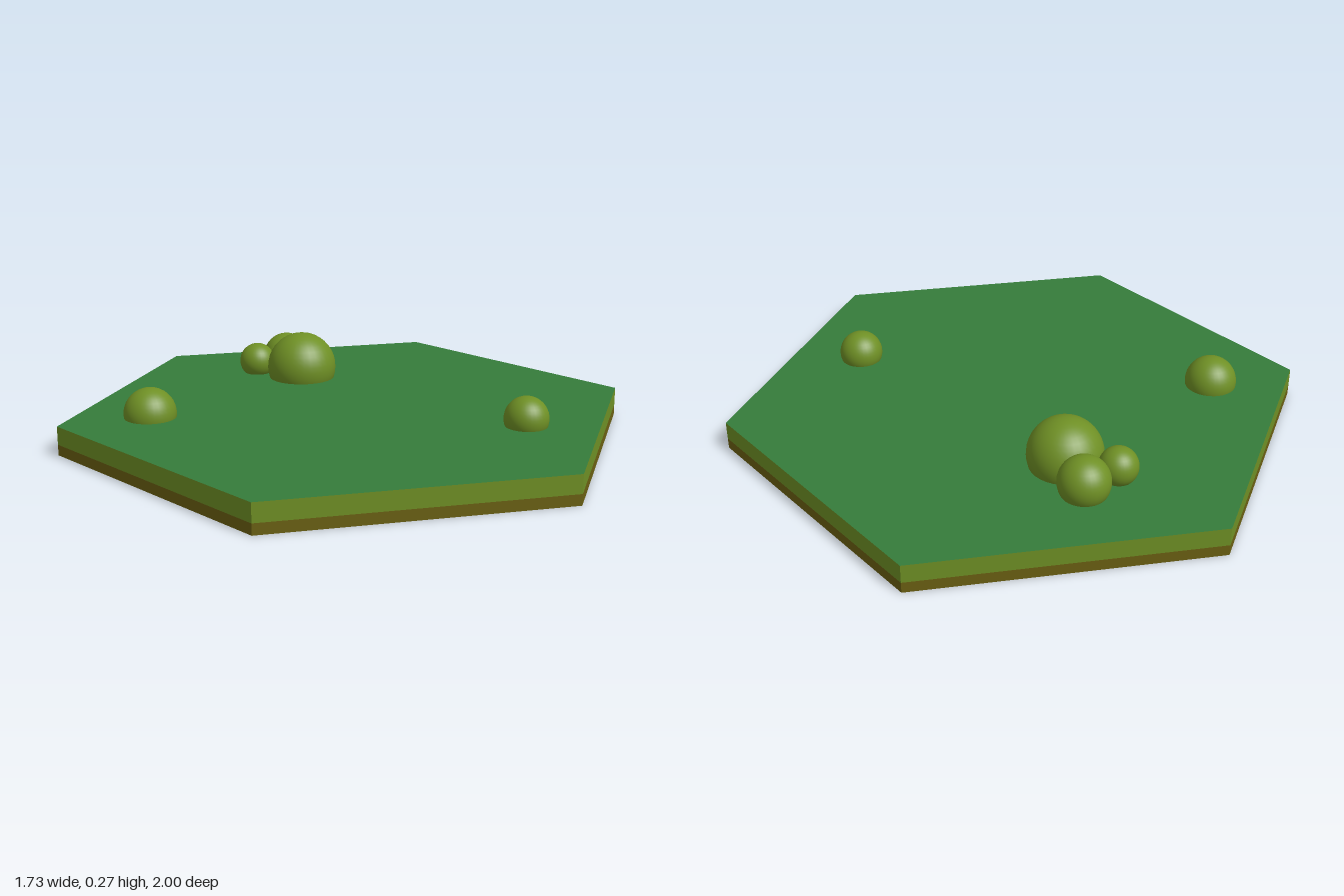
import * as THREE from 'three';

function material(name, color) {
  const m = new THREE.MeshStandardMaterial({ color });
  m.name = name;
  return m;
}

export function createModel() {
  const grass = material('grass green', 0x357c3b);
  const olive = material('olive green', 0x6f9025);
  const soil = material('soil brown', 0x6b6012);

  const model = new THREE.Group();
  model.name = 'hexTile';

  function add(name, geometry, mat, x, y, z, parent = model) {
    const mesh = new THREE.Mesh(geometry, mat);
    mesh.name = name;
    mesh.position.set(x, y, z);
    parent.add(mesh);
  }

  // Hexagonal slab in two layers, with corners pointing along z
  function hexLayer(bottom, top, hasTop) {
    const g = new THREE.CylinderGeometry(1, 1, top - bottom, 6, 1, false).toNonIndexed();
    const groups = g.groups.slice();
    g.computeVertexNormals(); // flat sides
    g.groups = groups;
    return g;
  }
  const split = 0.037, height = 0.1;
  add('soilLayer', hexLayer(0, split), soil, 0, split / 2, 0);
  // Cylinder groups: side, top cap, bottom cap
  add('grassLayer', hexLayer(split, height), [olive, grass, soil], 0, (split + height) / 2, 0);

  // Round bushes sunk into the slab: x, y, z, radius
  const bushes = new THREE.Group();
  bushes.name = 'bushes';
  model.add(bushes);
  [
    ['largeBush', -0.287, 0.14, -0.342, 0.127],
    ['mediumBush', -0.392, 0.143, -0.475, 0.087],
    ['smallBush', -0.47, 0.145, -0.36, 0.066],
    ['rightBush', -0.615, 0.112, 0.31, 0.09],
    ['leftBush', 0.626, 0.125, 0.06, 0.076],
  ].forEach(([name, x, y, z, r]) => {
    add(name, new THREE.SphereGeometry(r, 32, 20), olive, x, y, z, bushes);
  });

  return model;
}
